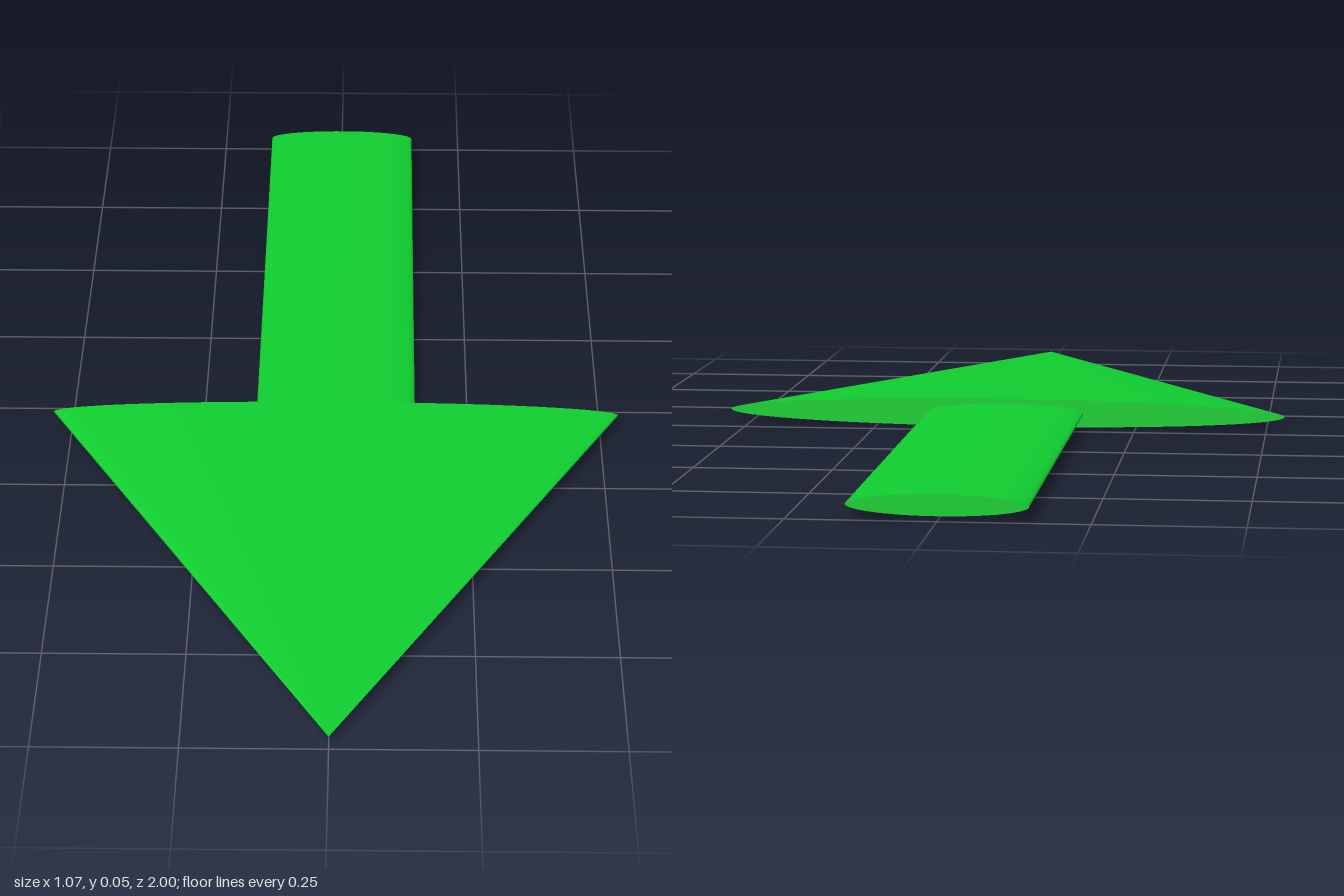
import * as THREE from 'three';

const CENTER_Y = 0.027;

export function createModel() {
  const group = new THREE.Group();
  group.name = 'arrow';
  const material = new THREE.MeshStandardMaterial({ color: 0x10d030 });

  // Round part laid along z and squashed to an elliptical section
  function addPart(name, topRadius, halfWidth, halfHeight, zBack, zFront) {
    const geometry = new THREE.CylinderGeometry(topRadius, 1, zFront - zBack, 64);
    geometry.rotateX(Math.PI / 2);
    geometry.scale(halfWidth, halfHeight, 1);
    const mesh = new THREE.Mesh(geometry, material);
    mesh.name = name;
    mesh.position.set(0, CENTER_Y, (zBack + zFront) / 2);
    group.add(mesh);
  }

  // Flattened cone tip and flattened round shaft
  addPart('arrowHead', 0, 0.535, 0.027, 0.05, 1);
  addPart('shaft', 1, 0.15, 0.018, -1, 0.05);

  return group;
}
